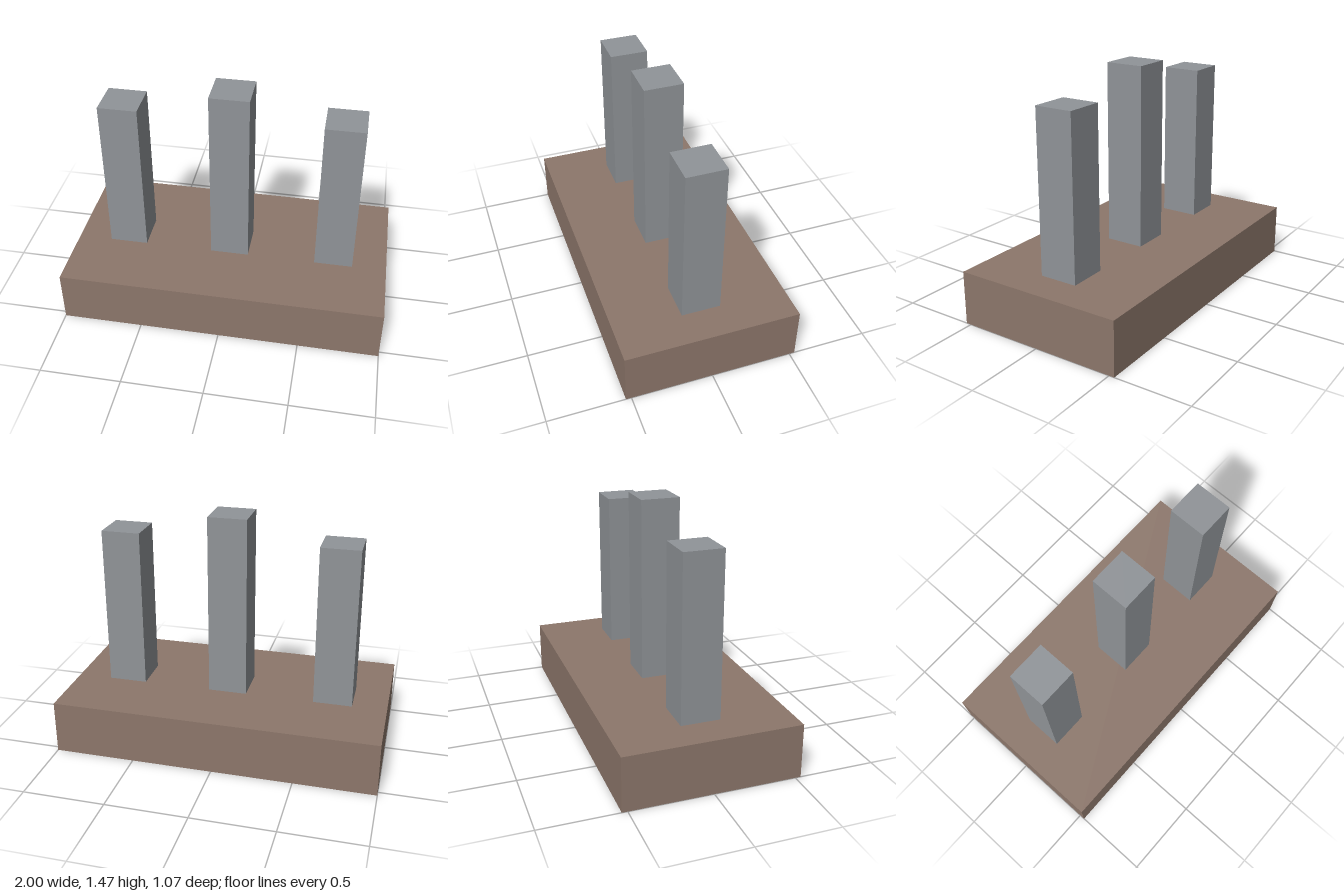
import * as THREE from 'three';

const BASE_HEIGHT = 0.333;
const PIN_WIDTH = 0.24;

export function createModel() {
  const model = new THREE.Group();
  model.name = 'threePinHeader';

  const brown = new THREE.MeshStandardMaterial({ color: 0x8d776b });
  brown.name = 'brown';
  const grey = new THREE.MeshStandardMaterial({ color: 0x909498 });
  grey.name = 'grey';

  // Box standing on the height y
  function addBox(name, material, [w, h, d], x, y) {
    const mesh = new THREE.Mesh(new THREE.BoxGeometry(w, h, d), material);
    mesh.name = name;
    mesh.position.set(x, y + h / 2, 0);
    model.add(mesh);
  }

  // Base block
  addBox('base', brown, [2, BASE_HEIGHT, 1.067], 0, 0);

  // Square pins, the middle one taller
  const pins = [['rightPin', -0.667, 1], ['middlePin', 0, 1.133], ['leftPin', 0.667, 1]];
  for (const [name, x, height] of pins) {
    addBox(name, grey, [PIN_WIDTH, height, PIN_WIDTH], x, BASE_HEIGHT);
  }

  return model;
}
